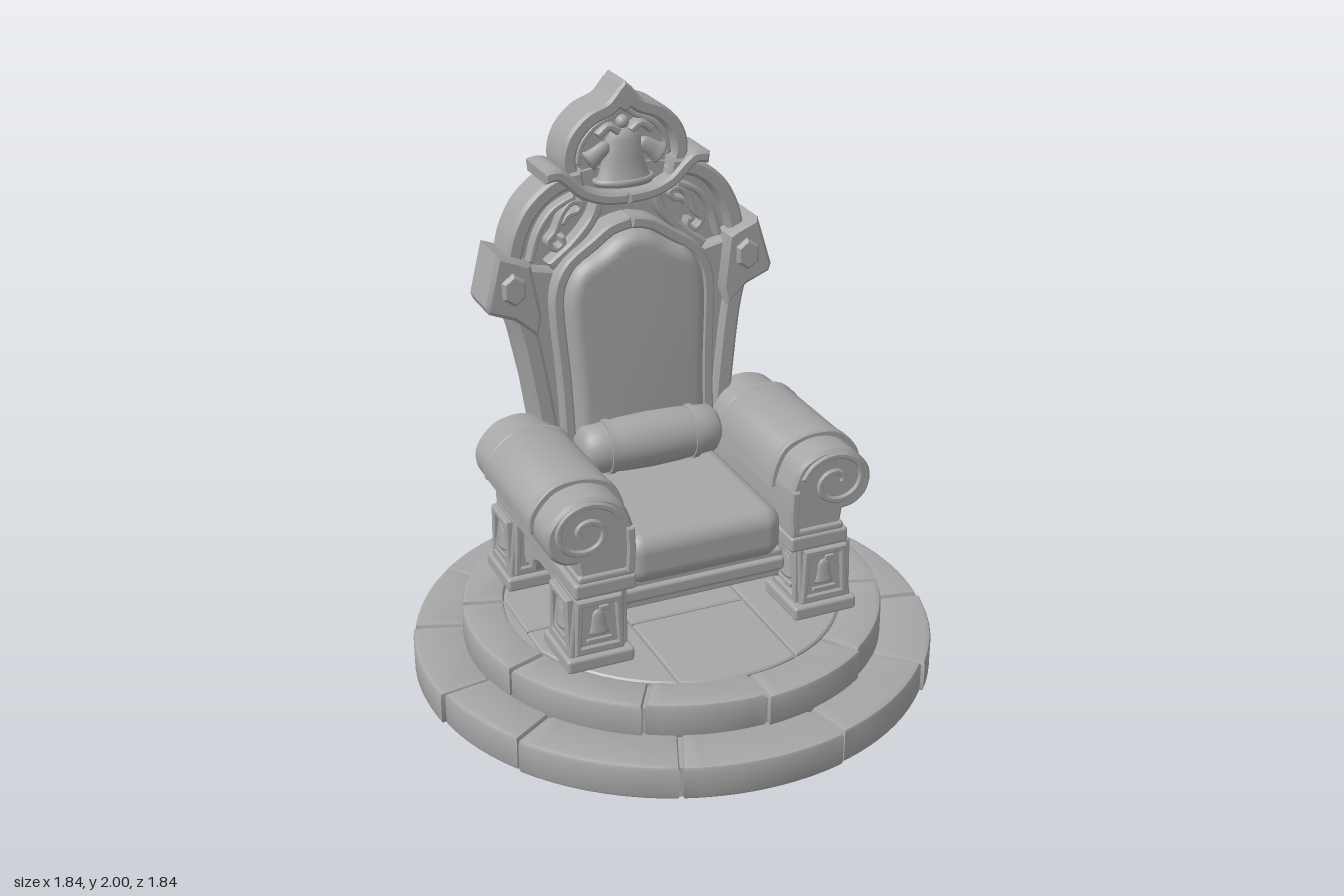
import * as THREE from 'three';
import { toCreasedNormals } from 'three/addons/utils/BufferGeometryUtils.js';
import { RoundedBoxGeometry } from 'three/addons/geometries/RoundedBoxGeometry.js';

const stone = new THREE.MeshStandardMaterial({ color: 0xa6a6a6 });
stone.name = 'grey stone';

const v2 = (p) => new THREE.Vector2(p[0], p[1]);
const spline = (pts, n = 24) => new THREE.SplineCurve(pts.map(v2)).getPoints(n).map((p) => [p.x, p.y]);
const mirrorX = (pts) => pts.map(([x, y]) => [-x, y]);
// full outline from a right half that runs from bottom to top
const both = (half) => [...half, ...mirrorX(half).reverse().filter(([x]) => x !== 0)];

// bevelled plate between z0 and z1
function plate(pts, z0, z1, b = 0.01, hole = null, seg = 1, bt = b) {
  const shape = new THREE.Shape(pts.map(v2));
  if (hole) shape.holes.push(new THREE.Path(hole.map(v2)));
  const g = new THREE.ExtrudeGeometry(shape, {
    depth: z1 - z0 - 2 * bt, bevelEnabled: b > 0, bevelSize: b, bevelOffset: -b,
    bevelThickness: bt, bevelSegments: seg, steps: 1,
  });
  g.translate(0, 0, z0 + bt);
  return toCreasedNormals(g, 0.6);
}

// band of constant width following a curve
function ribbon(pts, w, z0, z1, b = 0.008, n = 24) {
  const c = new THREE.SplineCurve(pts.map(v2)), l = [], r = [];
  for (let i = 0; i <= n; i++) {
    const p = c.getPoint(i / n), t = c.getTangent(i / n);
    l.push([p.x - t.y * w / 2, p.y + t.x * w / 2]);
    r.unshift([p.x + t.y * w / 2, p.y - t.x * w / 2]);
  }
  return plate([...l, ...r], z0, z1, b);
}

// backward slope of the back rest
function lean(g) {
  const p = g.attributes.position;
  for (let i = 0; i < p.count; i++) p.setZ(i, p.getZ(i) - 0.085 * (p.getY(i) - 0.345));
  return g;
}

function box(w, h, d, x, y, z, r = 0.012) {
  return new RoundedBoxGeometry(w, h, d, 2, r).translate(x, y, z);
}

function bell(h, r, flat) {
  const prof = [[0, 0], [1, 0], [1, 0.1], [0.88, 0.16], [0.72, 0.45], [0.62, 0.8], [0.4, 0.94], [0, 1]];
  return new THREE.LatheGeometry(prof.map(([a, b]) => new THREE.Vector2(a * r, b * h)), 20).scale(1, 1, flat);
}

export function createModel() {
  const root = new THREE.Group();
  root.name = 'throne';
  const add = (name, geo, parent = root) => {
    const m = new THREE.Mesh(geo, stone);
    m.name = name;
    parent.add(m);
    return m;
  };

  // round stepped dais made of separate stones
  add('lowerCore', new THREE.CylinderGeometry(0.9, 0.9, 0.11, 64).translate(0, 0.055, 0));
  add('upperCore', new THREE.CylinderGeometry(0.73, 0.73, 0.218, 64).translate(0, 0.109, 0));
  const ring = (name, seams, r0, r1, y0, y1) => seams.forEach((deg, i) => {
    const a0 = deg * Math.PI / 180;
    let a1 = seams[(i + 1) % seams.length] * Math.PI / 180;
    if (a1 < a0) a1 += Math.PI * 2;
    const pts = [], n = 9, gap = 0.006, wob = 0.006 * Math.sin(i * 2.4);
    for (let k = 0; k <= n; k++) {
      const a = a0 + gap / r1 + (a1 - a0 - 2 * gap / r1) * k / n;
      pts.push([Math.cos(a) * (r1 + wob), Math.sin(a) * (r1 + wob)]);
    }
    for (let k = n; k >= 0; k--) {
      const a = a0 + gap / r0 + (a1 - a0 - 2 * gap / r0) * k / n;
      pts.push([Math.cos(a) * r0, Math.sin(a) * r0]);
    }
    add(name, plate(pts, -y1 + wob / 2, -y0, 0.014, null, 2).rotateX(Math.PI / 2));
  });
  ring('lowerStone', [-160, -134, -111, -90, -69, -19, 13, 43, 76, 112, 147, 171], 0.72, 0.917, 0, 0.125);
  ring('upperStone', [-163, -114, -90, -52, -20, 18, 56, 89, 121, 160], 0.6, 0.745, 0.11, 0.237);
  const flag = (x0, x1, z0, z1) => {
    const near = [], far = [];
    for (let k = 0; k <= 8; k++) {
      const x = x0 + 0.004 + (x1 - x0 - 0.008) * k / 8, s = Math.sqrt(0.354 - x * x);
      near.push([x, Math.max(z0 + 0.004, -s)]);
      far.unshift([x, Math.min(z1 - 0.004, s)]);
    }
    add('flagstone', plate([...near, ...far], -0.233, -0.2, 0.006).rotateX(Math.PI / 2));
  };
  for (const [x0, x1, cuts] of [[-0.57, -0.22, [-0.7, 0.05, 0.7]], [-0.22, 0.21, [-0.7, -0.2, 0.15, 0.7]], [0.21, 0.57, [-0.7, -0.05, 0.7]]])
    for (let i = 0; i + 1 < cuts.length; i++) flag(x0, x1, cuts[i], cuts[i + 1]);

  // legs with framed relief panels
  for (const s of [-1, 1]) for (const z of [0.255, -0.333]) {
    const leg = new THREE.Group();
    leg.name = z > 0 ? 'frontLeg' : 'backLeg';
    leg.position.set(s * 0.42, 0, z);
    root.add(leg);
    add('foot', box(0.24, 0.052, 0.24, 0, 0.261, 0), leg);
    const post = box(0.2, 0.23, 0.2, 0, 0, 0), p = post.attributes.position;
    for (let i = 0; i < p.count; i++) {
      const k = 0.95 - p.getY(i) * 0.45;
      p.setXYZ(i, p.getX(i) * k - s * p.getY(i) * 0.08, p.getY(i) + 0.39, p.getZ(i) * k);
    }
    add('post', post, leg);
    for (let q = 0; q < 4; q++) {
      const frame = plate(both([[0.088, 0.292], [0.08, 0.495]]), 0.08, 0.108, 0.005,
        both([[0.065, 0.32], [0.058, 0.47]]));
      const parts = [['panelFrame', frame], ['panelBell', bell(0.09, 0.036, 0.4).translate(0, 0.36, 0.094)],
        ['panelBase', box(0.09, 0.016, 0.02, 0, 0.338, 0.095, 0.004)],
        ['panelLeaf', box(0.035, 0.02, 0.02, 0.02, 0.452, 0.09, 0.005)]];
      for (const [n, g] of parts) add(n, g.rotateY(q * Math.PI / 2), leg);
    }
  }

  // side frames and arms
  const armTop = [[0.285, 0.72], [0.32, 0.81], [0.38, 0.85], [0.45, 0.86], [0.53, 0.835], [0.59, 0.76], [0.585, 0.68], [0.54, 0.635], [0.49, 0.625]];
  const armOutline = [[0.29, 0.56], ...spline(armTop, 32), [0.48, 0.56]];
  const clothOutline = spline([[0.27, 0.7], [0.285, 0.775], [0.33, 0.845], [0.43, 0.873], [0.53, 0.857], [0.6, 0.78], [0.606, 0.71]], 24);
  for (const s of [-1, 1]) {
    const m = (pts) => pts.map(([x, y]) => [s * x, y]);
    add('sideRail', box(0.22, 0.058, 0.79, s * 0.395, 0.53, -0.035));
    add('sideRailStep', box(0.2, 0.03, 0.75, s * 0.39, 0.568, -0.02));
    const apron = plate([[0.17, 0.51], [0.17, 0.345], [0.09, 0.345], [0.065, 0.39], [0.02, 0.41], [-0.08, 0.41], [-0.13, 0.39],
      [-0.15, 0.345], [-0.24, 0.345], [-0.24, 0.51]], -0.04, 0.04);
    add('sideApron', apron.rotateY(-Math.PI / 2).translate(s * 0.43, 0, 0));
    add('arm', plate(m(armOutline), -0.37, 0.345, 0.012));
    add('armDrape', plate(m(clothOutline), -0.215, 0.225, 0.008, null, 2));
    const hem = clothOutline.map(([x, y]) => [0.438 + (x - 0.438) * 1.02, 0.74 + (y - 0.74) * 1.03]);
    for (const z of [-0.222, 0.2]) add('drapeHem', plate(m(hem), z, z + 0.03, 0.005));
    // carved spiral on both arm ends
    const spiral = [];
    for (let i = 0; i <= 20; i++) {
      const a = 2.9 - i * 0.47, r = 0.128 - i * 0.0052;
      spiral.push([0.457 + Math.cos(a) * r, 0.738 + Math.sin(a) * r * 0.87]);
    }
    for (const z of [0.335, -0.378]) add('armSpiral', ribbon(m(spiral), 0.022, z, z + 0.021, 0.005, 64));
    add('armFrontTrim', ribbon(m([[0.305, 0.565], [0.3, 0.65], [0.303, 0.73]]), 0.028, 0.33, 0.358, 0.005, 8));
  }

  // seat frame, seat cushion and bolster
  add('seatFrame', box(0.62, 0.09, 0.6, 0, 0.42, -0.05));
  add('seatRail', box(0.62, 0.05, 0.03, 0, 0.415, 0.255));
  add('lowerSeatRail', box(0.62, 0.035, 0.58, 0, 0.363, -0.06, 0.008));
  add('seatCushion', new RoundedBoxGeometry(0.58, 0.19, 0.58, 6, 0.065).translate(0, 0.553, 0.015));
  const roll = [[0, -0.265], [0.06, -0.262], [0.085, -0.24], [0.09, -0.19], [0.097, -0.1], [0.1, 0], [0.097, 0.1], [0.09, 0.19], [0.085, 0.24], [0.06, 0.262], [0, 0.265]];
  add('bolster', new THREE.LatheGeometry(roll.map(v2), 28).rotateZ(Math.PI / 2).translate(0, 0.744, -0.21));
  for (const x of [-0.16, 0.16])
    add('bolsterStrap', new THREE.CylinderGeometry(0.099, 0.099, 0.022, 28).rotateZ(Math.PI / 2).translate(x, 0.744, -0.21));

  // back rest slab with its flared sides
  const slab = both([[0.31, 0.345], [0.325, 0.5], [0.36, 0.75], [0.385, 0.95], [0.42, 1.14], [0.45, 1.24], [0.46, 1.43],
    [0.36, 1.385], [0.2, 1.35], [0, 1.335]]);
  add('backSlab', lean(plate(slab, -0.435, -0.29, 0.012)));
  const opening = [[0.245, 0.6], [0.245, 0.8], [0.25, 1.0], [0.262, 1.2], [0.255, 1.31], [0.21, 1.39], [0.13, 1.43], [0.06, 1.475], [0, 1.49]];
  add('backCushion', lean(plate(both(spline(opening, 26).map(([x, y], i) => [i === 26 ? 0 : x, y])), -0.36, -0.195, 0.045, null, 5, 0.06)));
  const frameLine = opening.map(([x, y], i) => (i < 6 ? [x + 0.022, y] : [x + (i < 8 ? 0.012 : 0), y + 0.022]));
  for (const s of [-1, 1]) {
    const m = (pts) => pts.map(([x, y]) => [s * x, y]);
    add('cushionFrame', lean(ribbon(m(frameLine), 0.042, -0.34, -0.238)));
    add('sidePillar', lean(ribbon(m([[0.315, 0.56], [0.33, 0.75], [0.355, 0.95], [0.385, 1.14], [0.42, 1.27]]), 0.07, -0.38, -0.262, 0.014)));
    // corner blocks with six-sided studs
    add('cornerBlock', lean(plate(m([[0.34, 1.22], [0.37, 1.41], [0.41, 1.43], [0.49, 1.46], [0.54, 1.28], [0.53, 1.255], [0.44, 1.22], [0.36, 1.15]]), -0.44, -0.25, 0.014)));
    const hex = [0, 1, 2, 3, 4, 5].map((i) => [s * 0.44 + Math.sin(i * Math.PI / 3) * 0.048, 1.335 + Math.cos(i * Math.PI / 3) * 0.058]);
    add('cornerStud', lean(plate(hex, -0.27, -0.233, 0.01)));

    // upper arch band, ribs and scroll tracery
    add('archBand', ribbon(m([[0.42, 1.42], [0.395, 1.51], [0.345, 1.595], [0.26, 1.66], [0.16, 1.68]]), 0.06, -0.525, -0.375, 0.012));
    add('archRib', ribbon(m([[0.355, 1.4], [0.325, 1.5], [0.27, 1.575], [0.19, 1.615]]), 0.022, -0.44, -0.385, 0.006));
    add('archCrossRib', ribbon(m([[0.1, 1.61], [0.13, 1.53], [0.2, 1.45], [0.29, 1.38]]), 0.035, -0.44, -0.37, 0.008));
    add('archScroll', ribbon(m([[0.235, 1.52], [0.215, 1.55], [0.18, 1.56], [0.165, 1.585], [0.2, 1.595], [0.235, 1.56], [0.262, 1.5],
      [0.29, 1.465], [0.265, 1.435], [0.235, 1.45], [0.24, 1.48]]), 0.02, -0.45, -0.385, 0.005, 48));

    // crest rim and sweeping collar
    add('crestRim', ribbon(m([[0, 1.965], [0.05, 1.91], [0.13, 1.875], [0.19, 1.81], [0.208, 1.73], [0.18, 1.66]]), 0.052, -0.55, -0.385, 0.01));
    add('crestInnerRim', ribbon(m([[0, 1.905], [0.045, 1.872], [0.11, 1.84], [0.155, 1.785], [0.168, 1.72]]), 0.02, -0.53, -0.405, 0.005));
    add('crestCollar', ribbon(m([[0.305, 1.7], [0.255, 1.705], [0.215, 1.675], [0.165, 1.63], [0.09, 1.6], [0, 1.592]]), 0.042, -0.555, -0.36, 0.01));
    // small tilted bells
    add('smallBell', bell(0.1, 0.04, 0.7).rotateZ(s * -2.2 + s * Math.PI).translate(s * 0.135, 1.725, -0.405));
    add('bellLeaf', ribbon(m([[0.02, 1.82], [0.06, 1.845], [0.1, 1.815]]), 0.028, -0.44, -0.385, 0.008, 10));
    // hollows behind the crest
    add('crestBackStud', new THREE.SphereGeometry(0.018, 10, 8).scale(1, 1, 0.5).translate(s * 0.07, 1.8, -0.52));
  }
  add('archBody', plate(both(spline([[0.44, 1.3], [0.43, 1.47], [0.37, 1.59], [0.285, 1.66], [0.15, 1.7], [0.03, 1.71]], 24)), -0.515, -0.425, 0.012));
  const crest = [[0, 1.585], [0.1, 1.6], [0.18, 1.65], [0.215, 1.72], [0.205, 1.8], [0.14, 1.88], [0.06, 1.92], [0, 1.985]];
  add('crestBody', plate(both(crest), -0.52, -0.43, 0.01));
  add('crestTip', plate([[0, 2], [0.06, 1.93], [0, 1.89], [-0.06, 1.93]], -0.55, -0.385, 0.008));

  // bell relief in the crest
  add('crestBell', bell(0.2, 0.105, 0.6).translate(0, 1.635, -0.415));
  add('bellRim', new THREE.TorusGeometry(0.102, 0.012, 8, 28).rotateX(Math.PI / 2).scale(1, 1, 0.6).translate(0, 1.65, -0.415));
  add('bellKnot', new THREE.SphereGeometry(0.024, 14, 10).translate(0, 1.85, -0.42));
  return root;
}
